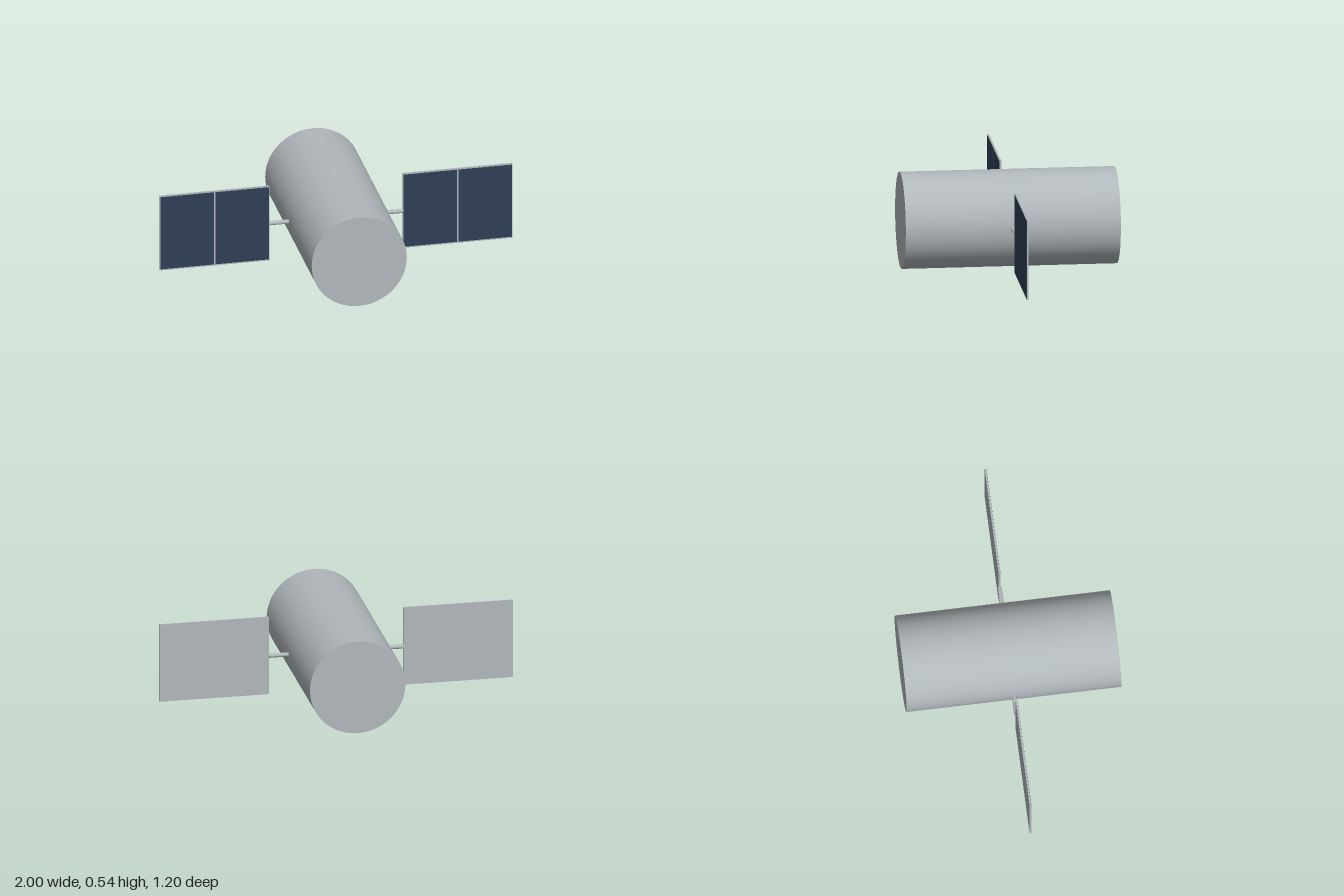
import * as THREE from 'three';

export function createModel() {
  const group = new THREE.Group();
  const metal = new THREE.MeshStandardMaterial({ color: 0xb0b7bb });
  metal.name = 'grey metal';
  const solar = new THREE.MeshStandardMaterial({ color: 0x2f3e54 });
  solar.name = 'dark blue cells';

  const add = (name, geometry, material, x, y, z) => {
    const mesh = new THREE.Mesh(geometry, material);
    mesh.name = name;
    mesh.position.set(x, y, z);
    group.add(mesh);
    return mesh;
  };

  const axisY = 0.27, panelY = 0.2725;
  const panelWidth = 0.62, panelHeight = 0.455, panelDepth = 0.01;
  const panelX = 1 - panelWidth / 2;

  // Cylindrical body lying along z
  add('body', new THREE.CylinderGeometry(0.27, 0.27, 1.2, 64).rotateX(Math.PI / 2), metal, 0, axisY, 0);

  for (const side of [1, -1]) {
    const label = side > 0 ? 'left' : 'right';

    // Strut from the body to the inner edge of the panel
    add(label + 'Strut', new THREE.CylinderGeometry(0.012, 0.012, 0.13, 20).rotateZ(Math.PI / 2),
      metal, side * 0.315, axisY, 0);

    // Panel plate
    add(label + 'Panel', new THREE.BoxGeometry(panelWidth, panelHeight, panelDepth),
      metal, side * panelX, panelY, 0);

    // Two thin solar cells on the front face only
    for (const half of [-1, 1]) {
      add(label + 'SolarCell', new THREE.BoxGeometry(0.302, 0.441, 0.002),
        solar, side * panelX + half * 0.156, panelY, panelDepth / 2);
    }
  }
  return group;
}
